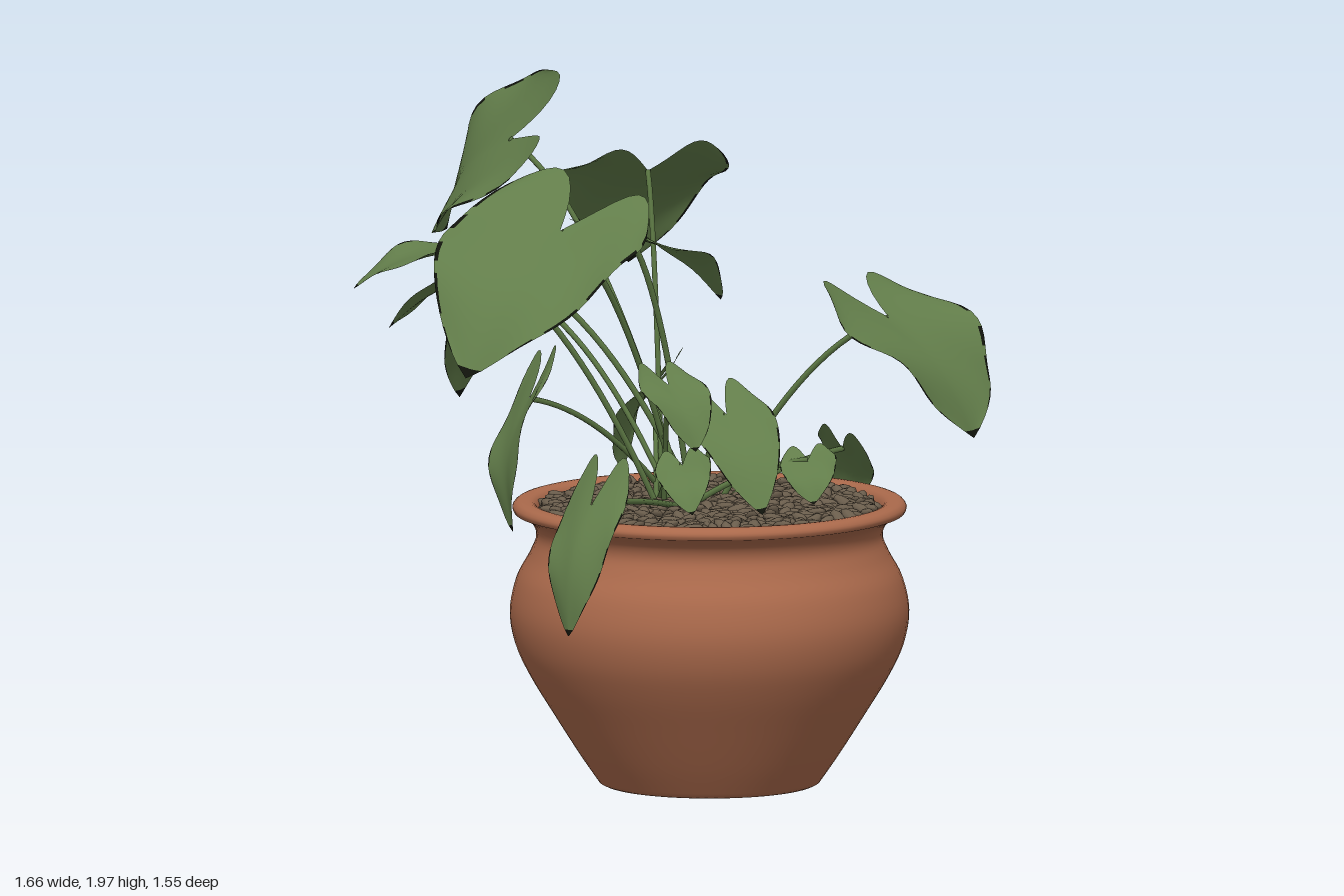
import * as THREE from 'three';
import { mergeGeometries } from 'three/addons/utils/BufferGeometryUtils.js';

const CX = 0.11, CZ = 0.22; // pot axis
const UP = new THREE.Vector3(0, 1, 0);

const mat = (name, color, side = THREE.FrontSide) => {
  const m = new THREE.MeshStandardMaterial({ color, side });
  m.name = name;
  return m;
};

function seeded(seed) {
  return () => (seed = (seed * 16807) % 2147483647) / 2147483647;
}

// Each leaf: stalk joint, tip, half width; roll about the midrib and edge fold only where needed
const LEAVES = [
  { name: 'topLeaf', base: [-0.19, 1.77, -0.37], tip: [-0.16, 1.46, -0.77], width: 0.25, roll: 0.95 },
  { name: 'largeRightLeaf', base: [-0.4, 1.61, 0.26], tip: [-0.79, 1.24, 0.4], width: 0.28, roll: 0.25 },
  { name: 'outerRightLeaf', base: [-0.54, 1.52, -0.04], tip: [-0.82, 1.42, -0.17], width: 0.15 },
  { name: 'backRightLeaf', base: [-0.31, 1.43, -0.15], tip: [-0.64, 1.28, -0.28], width: 0.2, roll: -0.35 },
  { name: 'largeBackLeaf', base: [0.11, 1.69, -0.12], tip: [0.23, 1.38, -0.43], width: 0.24, roll: 0.05 },
  { name: 'hangingBackLeaf', base: [-0.21, 1.35, -0.29], tip: [-0.19, 1, -0.65], width: 0.14, roll: 0.3 },
  { name: 'upperFrontLeaf', base: [-0.13, 1.56, 0.18], tip: [0.2, 1.35, 0.13], width: 0.16, roll: -0.1 },
  { name: 'largeFrontLeaf', base: [0.54, 1.32, 0.48], tip: [0.67, 1, 0.73], width: 0.27 },
  { name: 'lowRightLeaf', base: [-0.46, 0.87, 0.53], tip: [-0.55, 0.51, 0.56], width: 0.11, fold: -0.2 },
  { name: 'middleRightLeaf', base: [-0.43, 1.12, 0.14], tip: [-0.53, 0.76, 0.22], width: 0.13, roll: -0.9 },
  { name: 'middleFrontLeaf', base: [-0.13, 1.17, 0.4], tip: [-0.13, 1, 0.55], width: 0.1 },
  { name: 'frontLeaf', base: [0.13, 1.05, 0.28], tip: [0.1, 0.8, 0.53], width: 0.12, roll: -0.2 },
  { name: 'smallFrontLeaf', base: [-0.12, 0.95, 0.46], tip: [-0.17, 0.83, 0.6], width: 0.08, roll: -0.25 },
  { name: 'smallLeftLeaf', base: [0.33, 0.92, 0.39], tip: [0.29, 0.81, 0.49], width: 0.08, roll: -0.2 },
  { name: 'sideLeftLeaf', base: [0.62, 0.89, 0.09], tip: [0.71, 0.68, -0.06], width: 0.085, roll: -0.5 },
  { name: 'lowBackLeaf', base: [0.14, 1.08, -0.13], tip: [0.12, 0.82, -0.27], width: 0.12, roll: 0.5 },
];

// Heart-shaped blade with swept-back lobes; group 0 is the blade, group 1 the withered rim and tip
function leafGeometry({ base, tip, width, roll = 0, fold = 0.1 }) {
  const start = new THREE.Vector3(...base);
  const axis = new THREE.Vector3(...tip).sub(start), len = axis.length();
  const dir = axis.clone().normalize();
  const across = new THREE.Vector3().crossVectors(dir, UP).normalize().applyAxisAngle(dir, -roll);
  const normal = new THREE.Vector3().crossVectors(across, dir);
  const rows = 20, cols = 18, pos = [], blade = [], rim = [];
  for (let i = 0; i <= rows; i++) {
    const s = i / rows;
    const w = width * (s < 0.25
      ? 0.72 + 0.28 * Math.sin(s * 2 * Math.PI)
      : Math.max(0, Math.cos(((s - 0.25) / 0.75) * Math.PI / 2)) ** 0.85);
    for (let j = 0; j <= cols; j++) {
      const side = j - cols / 2, a = Math.min(1, Math.abs(side) / (cols / 2 - 1) * 0.96 + (j % cols ? 0 : 1));
      const t = Math.sign(side) * a;
      const along = s - 0.4 * (1 - s) ** 2 * Math.sin(a * Math.PI * 0.78);
      const lift = 0.11 * len * Math.sin(Math.PI * along)
        + fold * w * a ** 1.4
        + 0.08 * w * a * a * Math.sin(s * 11 + t * 2);
      const p = start.clone().addScaledVector(axis, along)
        .addScaledVector(across, t * w).addScaledVector(normal, lift);
      pos.push(p.x, p.y, p.z);
      if (i < rows && j < cols) {
        const k = i * (cols + 1) + j, m = k + cols + 1;
        const edge = j === 0 || j === cols - 1;
        const withered = i === rows - 1 || (edge && Math.sin(i * 1.7 + j) > -0.3);
        (withered ? rim : blade).push(k, k + 1, m, k + 1, m + 1, m);
      }
    }
  }
  const g = new THREE.BufferGeometry();
  g.setAttribute('position', new THREE.Float32BufferAttribute(pos, 3));
  g.setIndex([...blade, ...rim]);
  g.addGroup(0, blade.length, 0);
  g.addGroup(blade.length, rim.length, 1);
  g.computeVertexNormals();
  return g;
}

// Arching stalk from the soil to the leaf joint
function stalkGeometry(base, i) {
  const end = new THREE.Vector3(...base);
  const start = base[0] > 0.5
    ? new THREE.Vector3(0.18, 0.77, 0.15)
    : new THREE.Vector3(0.06 + 0.06 * Math.sin(i * 2.4), 0.77, 0.12 + 0.06 * Math.cos(i * 2.4));
  const ctrl = start.clone().lerp(end, 0.5);
  ctrl.y = start.y + (end.y - start.y) * 0.85;
  return new THREE.TubeGeometry(new THREE.QuadraticBezierCurve3(start, ctrl, end), 18, 0.0085, 6);
}

// Turned pot: recessed foot, swelling body, pinched neck and rolled lip
function potGeometry() {
  const pts = (list) => list.map(([x, y]) => new THREE.Vector2(x, y));
  const body = new THREE.SplineCurve(pts([
    [0.31, 0.005], [0.365, 0.085], [0.438, 0.2], [0.505, 0.31], [0.546, 0.4], [0.56, 0.49],
    [0.542, 0.58], [0.505, 0.65], [0.486, 0.7], [0.498, 0.74], [0.535, 0.765],
  ])).getPoints(50);
  const lip = new THREE.SplineCurve(pts([
    [0.548, 0.769], [0.553, 0.784], [0.538, 0.8], [0.5, 0.8], [0.482, 0.78], [0.475, 0.74],
  ])).getPoints(16);
  return new THREE.LatheGeometry([
    ...pts([[0, 0.02], [0.25, 0.02], [0.28, 0.006], [0.3, 0]]), ...body, ...lip,
  ], 72);
}

// Flattened pebbles scattered over the soil in a sunflower spiral
function pebblesGeometry() {
  const rnd = seeded(4711), parts = [], count = 560;
  const unit = new THREE.SphereGeometry(1, 7, 5);
  for (let i = 0; i < count; i++) {
    const r = 0.465 * Math.sqrt((i + 0.5) / count), a = i * 2.39996;
    const turn = new THREE.Quaternion().setFromEuler(
      new THREE.Euler((rnd() - 0.5) * 0.8, rnd() * Math.PI * 2, (rnd() - 0.5) * 0.8));
    const size = 0.8 + rnd() * 0.4;
    parts.push(unit.clone().applyMatrix4(new THREE.Matrix4().compose(
      new THREE.Vector3(CX + r * Math.cos(a), 0.782 + rnd() * 0.012, CZ + r * Math.sin(a)), turn,
      new THREE.Vector3(0.034, 0.013, 0.017).multiplyScalar(size))));
  }
  return mergeGeometries(parts);
}

export function createModel() {
  const model = new THREE.Group();
  model.name = 'pottedPlant';
  const clay = mat('terracotta', 0xaa694b, THREE.DoubleSide);
  const stone = mat('pebbleBrown', 0x6a5d4c);
  const earth = mat('darkSoil', 0x41382e);
  const green = mat('leafGreen', 0x627d4a, THREE.DoubleSide);
  const withered = mat('witheredEdge', 0x10130b, THREE.DoubleSide);
  const stalkGreen = mat('stalkGreen', 0x5a7542);
  const add = (name, geometry, material, parent = model) => {
    const mesh = new THREE.Mesh(geometry, material);
    mesh.name = name;
    parent.add(mesh);
    return mesh;
  };

  add('pot', potGeometry(), clay).position.set(CX, 0, CZ);
  const soil = add('soil', new THREE.CircleGeometry(0.482, 48), earth);
  soil.rotation.x = -Math.PI / 2;
  soil.position.set(CX, 0.775, CZ);
  add('pebbles', pebblesGeometry(), stone);

  // Foliage: one blade and one stalk per entry
  const foliage = new THREE.Group();
  foliage.name = 'foliage';
  model.add(foliage);
  LEAVES.forEach((leaf, i) => {
    add(leaf.name, leafGeometry(leaf), [green, withered], foliage);
    add(leaf.name + 'Stalk', stalkGeometry(leaf.base, i), stalkGreen, foliage);
  });
  return model;
}
